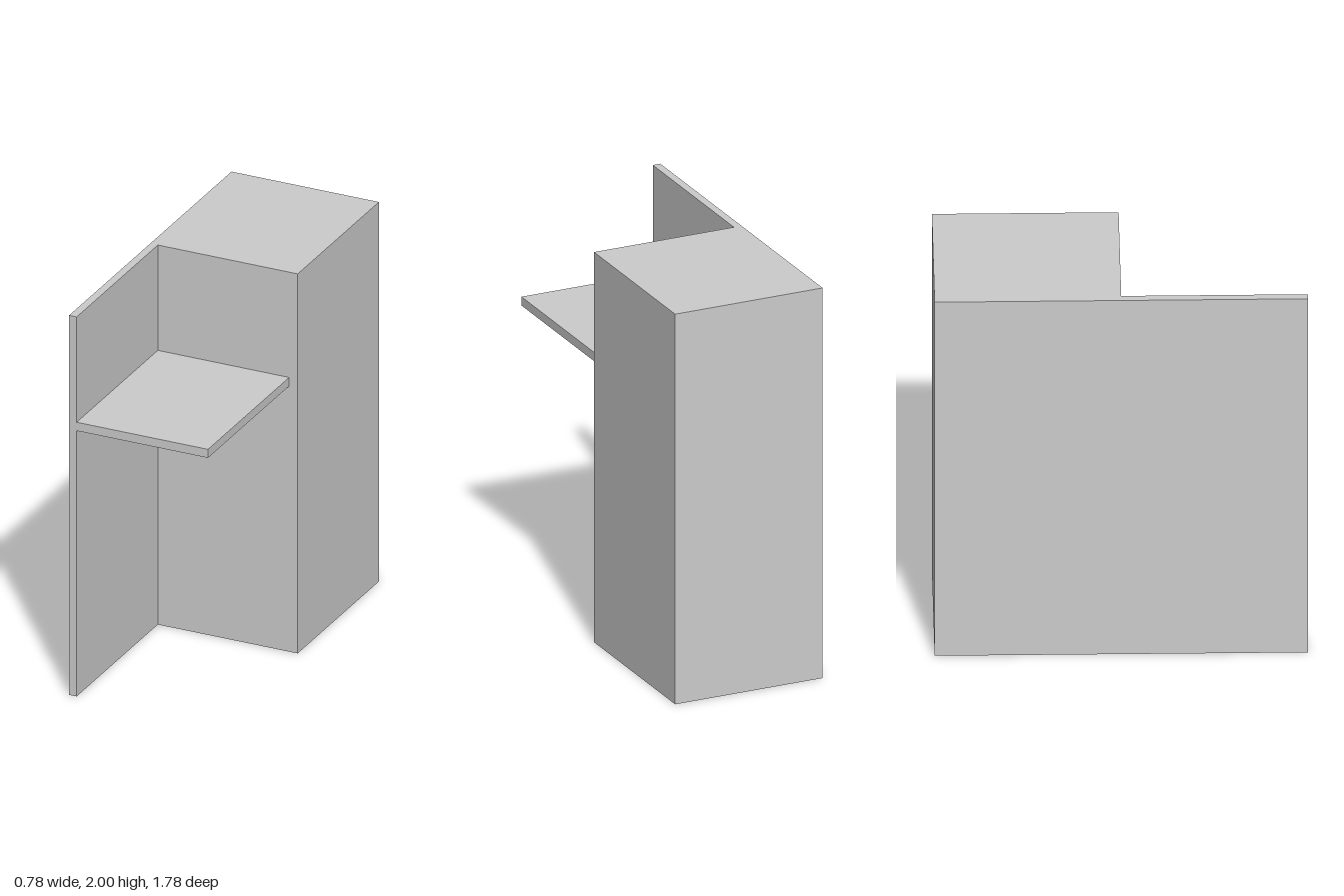
import * as THREE from 'three';

export function createModel() {
  const group = new THREE.Group();
  const material = new THREE.MeshStandardMaterial({ color: 0xcccccc, flatShading: true });

  const height = 2, halfW = 0.39, halfD = 0.89;
  const panelInner = -0.35, bodyFront = 0;

  // Cabinet block and thin side panel: one L-shaped footprint, extruded upwards (shape y = -z)
  const footprint = new THREE.Shape([
    [-halfW, -halfD], [panelInner, -halfD], [panelInner, -bodyFront],
    [halfW, -bodyFront], [halfW, halfD], [-halfW, halfD],
  ].map(([x, y]) => new THREE.Vector2(x, y)));
  const bodyGeometry = new THREE.ExtrudeGeometry(footprint, { depth: height, bevelEnabled: false });
  bodyGeometry.rotateX(-Math.PI / 2);
  const body = new THREE.Mesh(bodyGeometry, material);
  body.name = 'cabinetWithSidePanel';
  group.add(body);

  // Shelf in the corner between panel and cabinet
  const shelfRight = 0.345, shelfBottom = 1.4, shelfTop = 1.445;
  const shelf = new THREE.Mesh(
    new THREE.BoxGeometry(shelfRight - panelInner, shelfTop - shelfBottom, halfD - bodyFront), material);
  shelf.position.set((shelfRight + panelInner) / 2, (shelfTop + shelfBottom) / 2, (halfD + bodyFront) / 2);
  shelf.name = 'shelf';
  group.add(shelf);

  return group;
}
